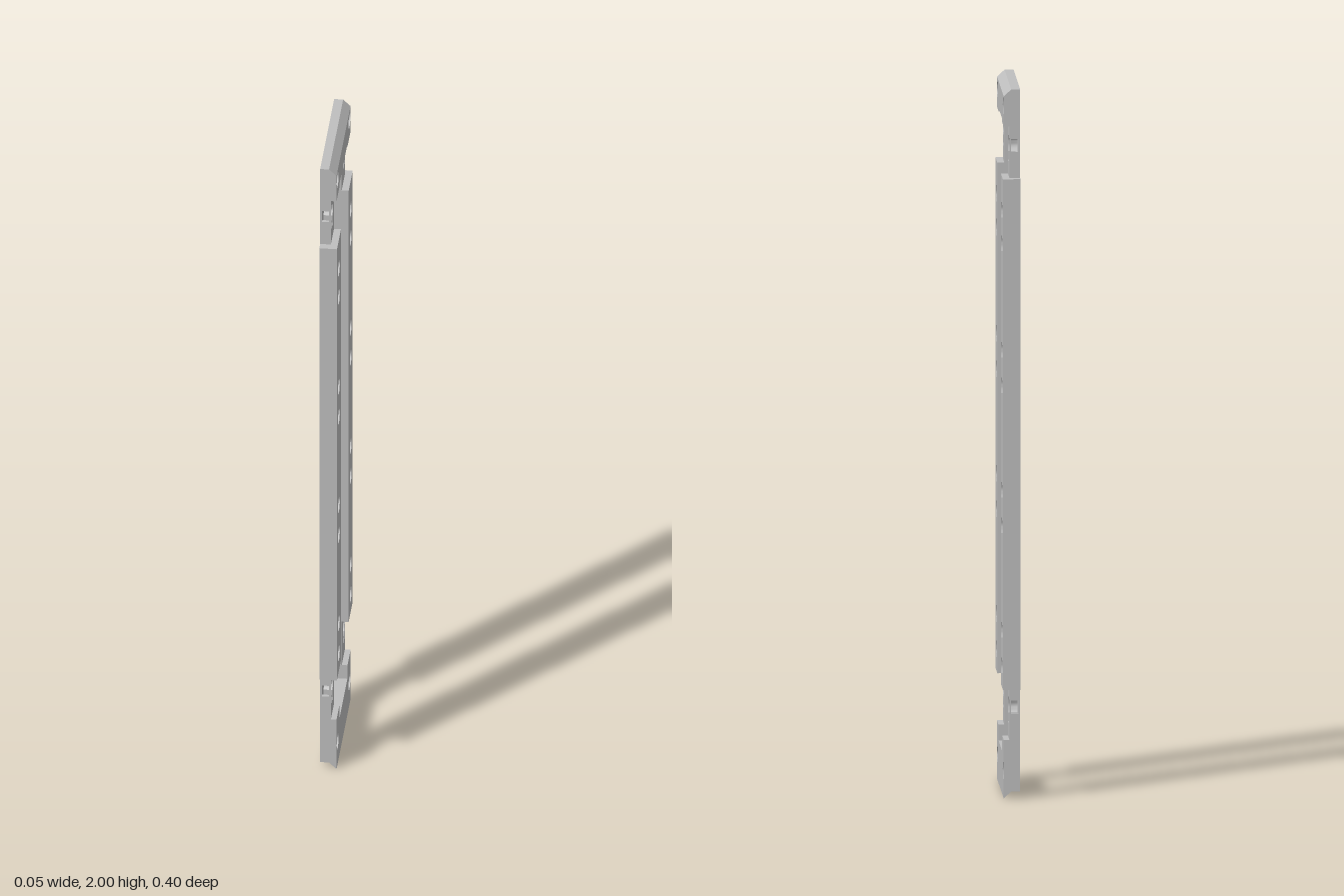
import * as THREE from 'three';
import { toCreasedNormals } from 'three/addons/utils/BufferGeometryUtils.js';

const HOLE_Z = 0.15, HOLE_R = 0.024;
const HOLE_Y = [0.075, 0.37, 0.47, 0.765, 0.865, 1.16, 1.26, 1.56, 1.655, 1.95];
const KEY_Y = [0.258, 1.842];
const EDGE = 0.178, RAIL = 0.2, INNER = 0.098;

const vec = (x, y) => new THREE.Vector2(x, y);
const mirror = (pts) => pts.map((p) => vec(-p.x, p.y)).reverse();

// Keyhole contour, clockwise from the lower right of its round head
function keyhole(cy) {
  const at = (a, r = 0.026) => vec(HOLE_Z + r * Math.cos(a), cy + r * Math.sin(a));
  const pts = [at(-0.765), vec(HOLE_Z + 0.013, cy - 0.0225)];
  pts.push(vec(HOLE_Z + 0.013, cy - 0.046), vec(HOLE_Z + 0.006, cy - 0.053));
  pts.push(vec(HOLE_Z - 0.006, cy - 0.053), vec(HOLE_Z - 0.013, cy - 0.046));
  for (let i = 0; i <= 14; i++) pts.push(at(THREE.MathUtils.lerp(Math.PI * 4 / 3, 0.765, i / 14)));
  return pts;
}

// Keyhole chamber that opens through the outer edge
function sideNotch(cy) {
  return [vec(EDGE, cy - 0.018), ...keyhole(cy), vec(EDGE, cy + 0.018)];
}

// Outline of the whole frame, with optional notches
function frameShape(notched) {
  const half = [vec(EDGE, 0.02), ...(notched ? sideNotch(KEY_Y[0]) : []),
    vec(EDGE, 0.31), vec(RAIL, 0.31), vec(RAIL, 1.75), vec(EDGE, 1.75),
    ...(notched ? sideNotch(KEY_Y[1]) : []), vec(EDGE, 2)];
  const shape = new THREE.Shape([...half, ...mirror(half)]);
  shape.holes.push(new THREE.Path([vec(-INNER, 0.12), vec(-INNER, 1.905), vec(INNER, 1.905), vec(INNER, 0.12)]));
  return shape;
}

// Round screw holes lying between two heights
function drill(shape, y0, y1, sides = [-1, 1]) {
  for (const y of HOLE_Y) {
    if (y < y0 || y > y1) continue;
    for (const s of sides) {
      const hole = new THREE.Path();
      hole.absarc(s * HOLE_Z, y, HOLE_R, 0, Math.PI * 2, true);
      shape.holes.push(hole);
    }
  }
  return shape;
}

export function createModel() {
  const group = new THREE.Group();
  const metal = new THREE.MeshStandardMaterial({ color: 0xbfbfbf });
  metal.name = 'light grey metal';

  // Extrude a side profile from x0 to x1 and slant its top and bottom edges
  function slab(name, shape, x0, x1) {
    let geo = new THREE.ExtrudeGeometry(shape, { depth: x1 - x0, bevelEnabled: false, curveSegments: 12 });
    geo.rotateY(Math.PI / 2).translate(x0, 0, 0);
    const pos = geo.attributes.position;
    for (let i = 0; i < pos.count; i++) {
      const slant = Math.max(0, pos.getX(i)) * 0.95;
      if (pos.getY(i) > 1.99) pos.setY(i, 2 - slant);
      if (pos.getY(i) < 0.03) pos.setY(i, 0.02 - slant);
    }
    geo = toCreasedNormals(geo, 0.6);
    const mesh = new THREE.Mesh(geo, metal);
    mesh.name = name;
    group.add(mesh);
  }

  // Back skin, chamber layer and keyhole plate of the frame
  slab('backPlate', drill(frameShape(false), 0, 2), -0.025, -0.02);
  slab('chamberLayer', drill(frameShape(true), 0, 2), -0.02, 0);
  const plate = drill(frameShape(false), 0, 2);
  for (const y of KEY_Y) {
    const key = [...keyhole(y), vec(HOLE_Z + 0.024, y + 0.01), vec(HOLE_Z + 0.026, y), vec(HOLE_Z + 0.024, y - 0.01)];
    plate.holes.push(new THREE.Path(key), new THREE.Path(mirror(key)));
  }
  slab('keyholePlate', plate, 0, 0.005);

  // Raised side rails
  for (const s of [-1, 1]) {
    const pts = [vec(INNER, 0.31), vec(RAIL, 0.31), vec(RAIL, 1.75), vec(INNER, 1.75)];
    const rail = new THREE.Shape(s > 0 ? pts : mirror(pts));
    slab(s > 0 ? 'backRail' : 'frontRail', drill(rail, 0.31, 1.75, [s]), 0.005, 0.0245);
  }

  // Raised end bars with short legs
  const top = [vec(INNER, 1.905), vec(INNER, 1.895), vec(EDGE, 1.895), vec(EDGE, 2)];
  slab('topBar', drill(new THREE.Shape([...top, ...mirror(top)]), 1.9, 2), 0.005, 0.021);
  const bottom = [vec(EDGE, 0.02), vec(EDGE, 0.165), vec(INNER, 0.165), vec(INNER, 0.12)];
  slab('bottomBar', drill(new THREE.Shape([...bottom, ...mirror(bottom)]), 0, 0.165), 0.005, 0.021);

  return group;
}
